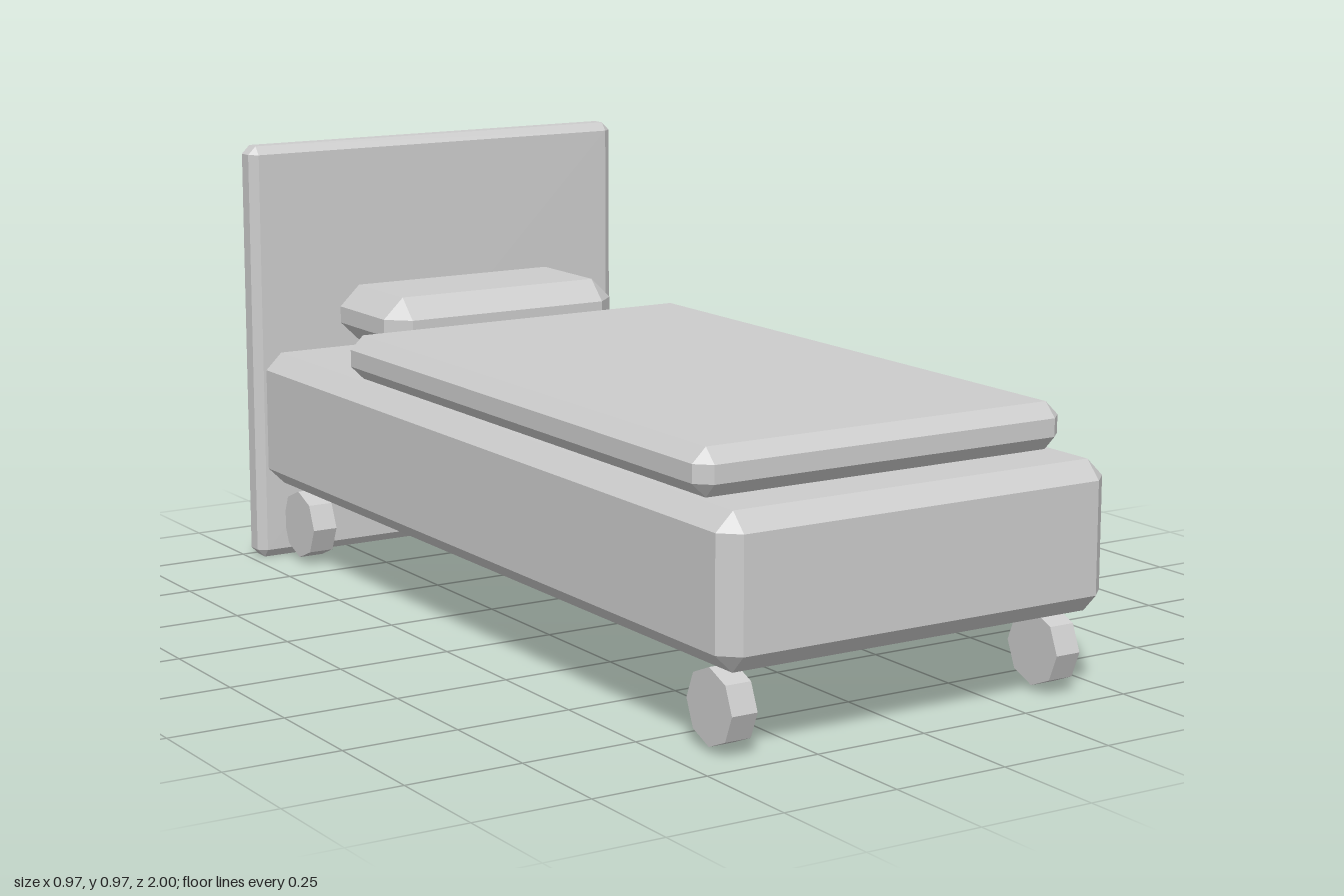
import * as THREE from 'three';
import { ConvexGeometry } from 'three/addons/geometries/ConvexGeometry.js';

// Box between two corners with flat chamfers of a given size per axis
function chamferBox(min, max, bevel) {
  const half = min.map((v, i) => (max[i] - v) / 2);
  const points = [];
  for (const sx of [-1, 1]) for (const sy of [-1, 1]) for (const sz of [-1, 1]) {
    for (let full = 0; full < 3; full++) {
      const p = [sx, sy, sz].map((s, i) => s * (half[i] - (i === full ? 0 : bevel[i])));
      points.push(new THREE.Vector3(...p));
    }
  }
  const geometry = new ConvexGeometry(points);
  geometry.translate(...min.map((v, i) => (v + max[i]) / 2));
  return geometry;
}

export function createModel() {
  const group = new THREE.Group();
  group.name = 'bed';

  const grey = new THREE.MeshStandardMaterial({ color: 0xcccccc });
  grey.name = 'light grey';

  const add = (name, geometry) => {
    const mesh = new THREE.Mesh(geometry, grey);
    mesh.name = name;
    group.add(mesh);
    return mesh;
  };

  // Headboard, reaching the floor
  add('headboard', chamferBox([-0.485, 0, -1], [0.485, 0.97, -0.935], [0.019, 0.019, 0.016]));
  // Base, its rear end tucked into the headboard
  add('base', chamferBox([-0.46, 0.177, -0.97], [0.46, 0.487, 1], [0.039, 0.038, 0.037]));
  // Blanket and pillow
  add('blanket', chamferBox([-0.437, 0.487, -0.575], [0.437, 0.585, 0.878], [0.031, 0.03, 0.03]));
  add('pillow', chamferBox([-0.3, 0.51, -0.91], [0.3, 0.642, -0.6], [0.049, 0.047, 0.047]));

  // Four eight-sided wheels
  const wheel = new THREE.CylinderGeometry(0.0785, 0.0785, 0.058, 8).toNonIndexed();
  wheel.rotateZ(Math.PI / 2);
  wheel.computeVertexNormals();
  for (const [side, x] of [['Left', 0.389], ['Right', -0.389]]) {
    for (const [end, z] of [['front', 0.88], ['rear', -0.865]]) {
      add(`${end}${side}Wheel`, wheel).position.set(x, 0.089, z);
    }
  }
  return group;
}
